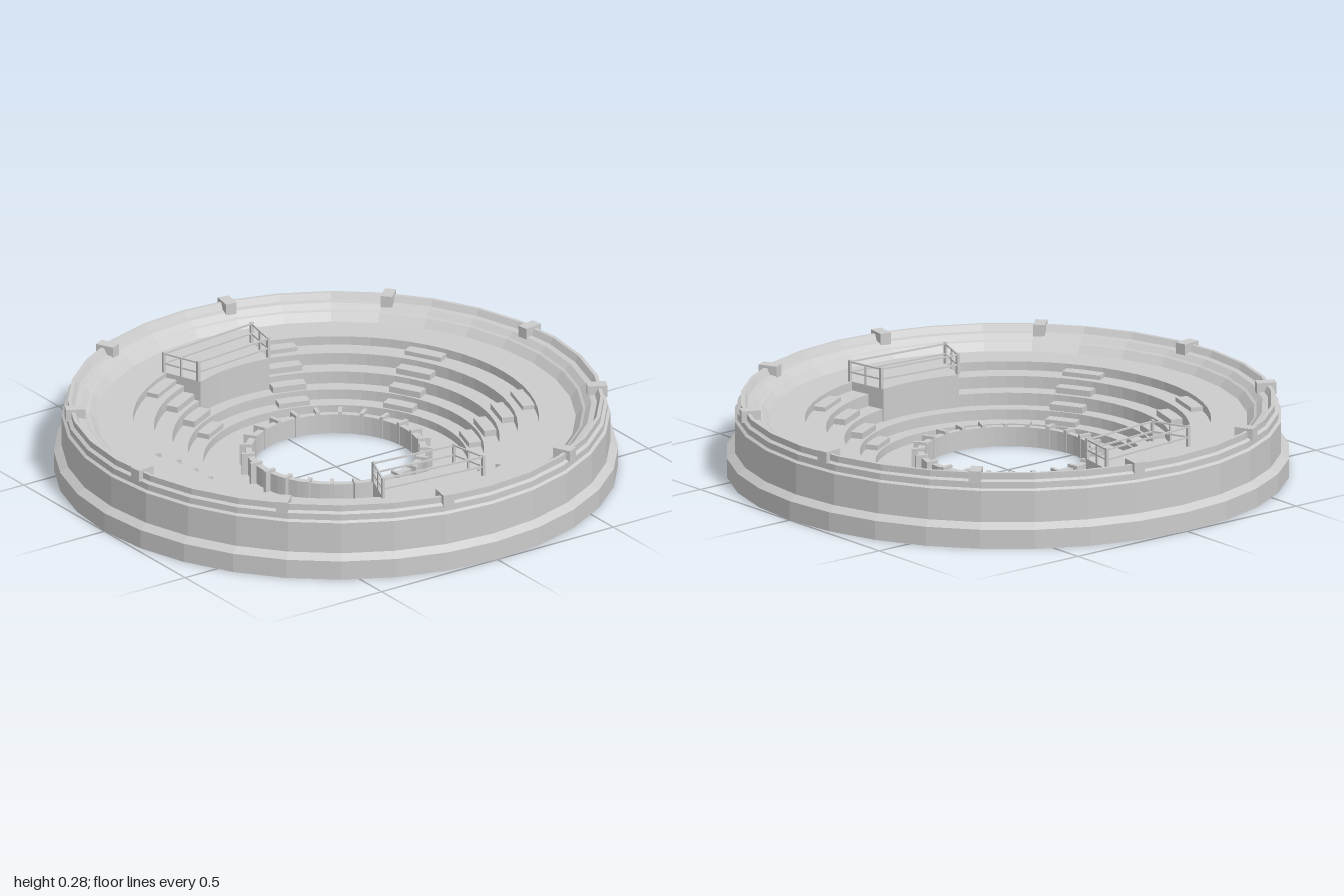
import * as THREE from 'three';

const mat = new THREE.MeshStandardMaterial({ color: 0xcccccc, flatShading: true, side: THREE.DoubleSide });
const rad = THREE.MathUtils.degToRad;
const pts = (list) => list.map(([x, y]) => new THREE.Vector2(x, y));

// Seating steps: radius of each riser and the level below it
const TOP = 0.19;
const STEPS = [[0.72, 0.158], [0.645, 0.115], [0.58, 0.07], [0.525, 0.033], [0.47, 0.003]];
const DECK_R = 0.575;
// Deck sector, in degrees from the front (+z) towards +x; the back one mirrors it
const DECK_A = -21.7, DECK_B = 10.7;

export function createModel() {
  const root = new THREE.Group();
  root.name = 'arena';

  const add = (name, geo, parent = root) => {
    const m = new THREE.Mesh(geo, mat);
    m.name = name;
    parent.add(m);
    return m;
  };
  const lathe = (name, profile, seg, a = 0, b = 360) =>
    add(name, new THREE.LatheGeometry(pts(profile), seg, rad(a), rad(b - a)));
  // Box placed at an angle on the ring, spanning radii r0..r1 and heights y0..y1
  const ringBox = (name, deg, r0, r1, y0, y1, width) => {
    const g = new THREE.BoxGeometry(width, y1 - y0, r1 - r0);
    g.translate(0, (y0 + y1) / 2, (r0 + r1) / 2);
    add(name, g).rotation.y = rad(deg);
  };
  // Thin bar between two points
  const bar = (name, p, q, t, parent) => {
    const m = add(name, new THREE.BoxGeometry(t, t, p.distanceTo(q)), parent);
    m.position.copy(p).add(q).multiplyScalar(0.5);
    m.lookAt(q);
  };

  // Outer wall with plinth, cornice and stepped rim
  lathe('outerWall', [
    [1, 0], [1, 0.07], [0.972, 0.09], [0.972, 0.205], [0.962, 0.212], [0.962, 0.235],
    [0.95, 0.242], [0.95, 0.265], [0.937, 0.265], [0.925, 0.243], [0.905, 0.24],
    [0.885, 0.222], [0.875, 0.218], [0.85, TOP],
  ], 32);

  // Seating bowl between the decks
  const bowl = [[0.855, TOP]];
  let level = TOP;
  for (const [r, y] of STEPS) {
    bowl.push([r, level], [r, y]);
    level = y;
  }
  bowl.push([0.3, level]);
  lathe('seatingBowl', bowl, 28, DECK_B, 180 - DECK_B);
  lathe('seatingBowl', bowl, 24, 180 - DECK_A, 360 + DECK_A);

  // Raised decks that interrupt the steps
  const deck = [[0.855, TOP], [DECK_R, TOP], [DECK_R, 0.07],
    [0.525, 0.07], [0.525, 0.033], [0.47, 0.033], [0.47, level], [0.3, level]];
  const cheek = new THREE.ShapeGeometry(new THREE.Shape(pts([
    [0.72, TOP], [0.72, 0.158], [0.645, 0.158], [0.645, 0.115],
    [0.58, 0.115], [0.58, 0.07], [DECK_R, 0.07], [DECK_R, TOP]])));

  for (const back of [false, true]) {
    const turn = (a) => (back ? 180 - a : a);
    const [from, to] = back ? [turn(DECK_B), turn(DECK_A)] : [DECK_A, DECK_B];
    lathe('deck', deck, 6, from, to);
    for (const a of [from, to]) add('deckSide', cheek).rotation.y = rad(a - 90);

    // Railing around the deck
    const rail = new THREE.Group();
    rail.name = 'deckRailing';
    root.add(rail);
    const corner = (r, a, y) => new THREE.Vector3(r * Math.sin(rad(a)), y, r * Math.cos(rad(a)));
    const loop = [[0.73, from], [0.73, to], [0.585, to], [0.585, from]];
    loop.forEach(([r, a], i) => {
      const [r2, a2] = loop[(i + 1) % 4];
      bar('railPost', corner(r, a, TOP), corner(r, a, 0.268), 0.011, rail);
      for (const y of [0.225, 0.262]) bar('handrail', corner(r, a, y), corner(r2, a2, y), 0.006, rail);
      // Middle post on the short sides
      if (i % 2) bar('railPost', corner(0.657, a, TOP), corner(0.657, a, 0.262), 0.007, rail);
    });
  }

  // Stair blocks, one half-height block against each riser
  for (let k = 0; k < 8; k++) {
    const deg = 163 - k * 45;
    if (k === 4) continue; // the front deck takes this place
    let upper = TOP;
    STEPS.slice(0, 4).forEach(([r, y], i) => {
      ringBox('stairBlock', deg, r - 0.048, r + 0.004, y, (y + upper) / 2, 0.145 - i * 0.01);
      upper = y;
    });
  }

  // Blocks on the rim
  for (let k = 0; k < 10; k++) ringBox('rimBlock', 169.6 + k * 36, 0.895, 0.965, 0.232, 0.275, 0.042);

  // Inner barrier with posts
  lathe('innerBarrier', [[0.298, 0], [0.298, 0.072], [0.322, 0.072], [0.322, 0]], 48);
  for (let k = 0; k < 24; k++) ringBox('barrierPost', 7.5 + k * 15, 0.296, 0.342, 0, 0.083, 0.014);

  return root;
}
